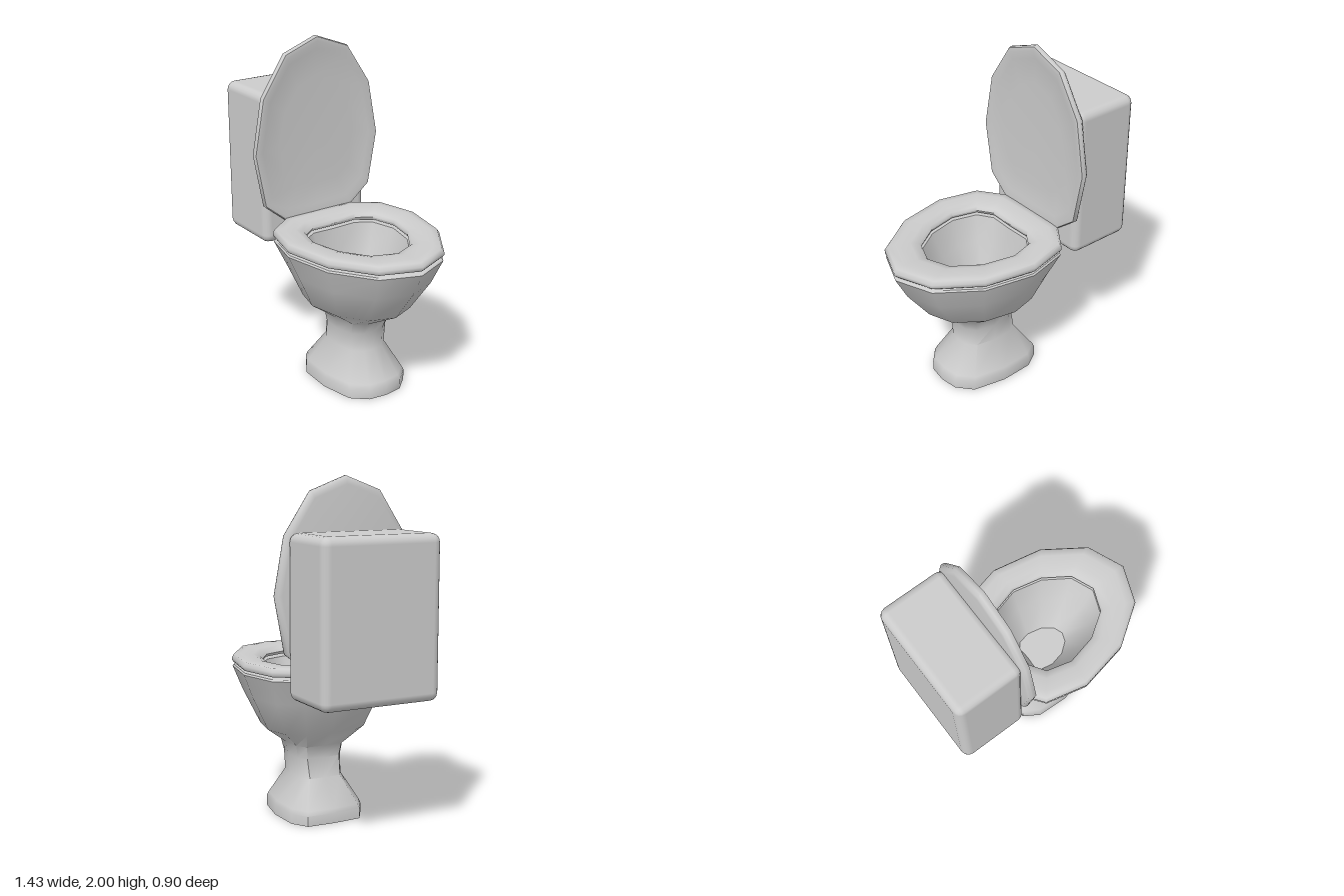
import * as THREE from 'three';
import { toCreasedNormals } from 'three/addons/utils/BufferGeometryUtils.js';
import { RoundedBoxGeometry } from 'three/addons/geometries/RoundedBoxGeometry.js';

const material = new THREE.MeshStandardMaterial({ color: 0xcccccc, side: THREE.DoubleSide });

// Half outlines [x, z], front tip to back centre, mirrored by ring()
const RIM = [[0.715, 0], [0.625, 0.225], [0.385, 0.39], [0.08, 0.45], [-0.17, 0.39], [-0.28, 0.24], [-0.29, 0]];
const HOLE = [[0.485, 0], [0.43, 0.14], [0.28, 0.24], [0.1, 0.28], [-0.05, 0.24], [-0.11, 0.15], [-0.105, 0]];
const DRAIN = [[0.265, 0], [0.245, 0.055], [0.18, 0.105], [0.09, 0.125], [0.015, 0.11], [-0.01, 0.075], [-0.005, 0]];
const FOOT = [[0.415, 0], [0.4, 0.11], [0.32, 0.2], [0.12, 0.24], [-0.08, 0.23], [-0.175, 0.17], [-0.185, 0]];
const LID = [[2, 0], [1.92, 0.215], [1.685, 0.37], [1.36, 0.43], [1.04, 0.37], [0.93, 0.235], [0.92, 0]];

const mix = (a, b, t) => a.map((p, i) => [p[0] + (b[i][0] - p[0]) * t, p[1] + (b[i][1] - p[1]) * t]);

// Stretches an outline to span x0..x1 and -w..w
function fit(outline, x0, x1, w) {
  const front = outline[0][0], back = outline[6][0];
  const widest = Math.max(...outline.map((p) => p[1]));
  return outline.map(([x, z]) => [x0 + ((x - back) / (front - back)) * (x1 - x0), (z / widest) * w]);
}

// Full 12-point ring at height y
function ring(half, y) {
  const mirrored = half.slice(1, 6).reverse().map(([x, z]) => [x, -z]);
  return [...half, ...mirrored].map(([x, z]) => [x, y, z]);
}

// Skins a list of rings
function loft(rings, closed, crease) {
  const n = 12, index = [];
  const count = closed ? rings.length : rings.length - 1;
  for (let i = 0; i < count; i++) {
    for (let j = 0; j < n; j++) {
      const k = (j + 1) % n, up = ((i + 1) % rings.length) * n;
      const a = i * n + j, b = i * n + k, c = up + j, d = up + k;
      index.push(a, c, b, b, c, d);
    }
  }
  const geometry = new THREE.BufferGeometry();
  geometry.setAttribute('position', new THREE.Float32BufferAttribute(rings.flat(2), 3));
  geometry.setIndex(index);
  return toCreasedNormals(geometry, crease);
}

export function createModel() {
  const group = new THREE.Group();
  const add = (name, geometry) => {
    const mesh = new THREE.Mesh(geometry, material);
    mesh.name = name;
    group.add(mesh);
    return mesh;
  };

  // Pedestal, open underneath, flowing into the bowl, over its rim and down to the drain
  const centre = DRAIN.map(() => [0.12, 0]);
  add('pedestalAndBowl', loft([
    ring(FOOT, 0),
    ring(FOOT, 0.06),
    ring(fit(FOOT, -0.175, 0.4, 0.23), 0.085),
    ring(fit(FOOT, -0.068, 0.287, 0.14), 0.245),
    ring(fit(FOOT, -0.045, 0.287, 0.147), 0.36),
    ring(fit(FOOT, -0.06, 0.32, 0.16), 0.435),
    ring(fit(RIM, -0.145, 0.49, 0.295), 0.53),
    ring(fit(RIM, -0.215, 0.635, 0.385), 0.725),
    ring(fit(RIM, -0.285, 0.71, 0.447), 0.87),
    ring(fit(RIM, -0.275, 0.7, 0.44), 0.88),
    ring(HOLE, 0.88),
    ring(mix(HOLE, DRAIN, 0.35), 0.72),
    ring(DRAIN, 0.5),
    ring(centre, 0.5),
  ], false, 0.9));

  // Seat ring: each pair is [blend from outer edge to hole, height]
  const section = [[0.04, 0.895], [0, 0.905], [0, 0.922], [0.07, 0.943], [0.3, 0.946],
    [0.7, 0.942], [0.93, 0.93], [1, 0.912], [0.96, 0.895]];
  add('seat', loft(section.map(([t, y]) => ring(mix(RIM, HOLE, t), y)), true, 1.0));

  // Raised lid: dished inner face, rounded rim; lofted flat, then stood upright
  const middle = LID.map(() => [1.42, 0]);
  const lidSection = [[1, 0.287], [0.4, 0.287], [0.13, 0.28], [0.05, 0.27], [0.01, 0.272],
    [0, 0.285], [0, 0.3], [0.03, 0.316], [0.08, 0.32], [1, 0.322]];
  const lid = add('lid', loft(lidSection.map(([t, y]) => ring(mix(LID, middle, t), y)), false, 1.0));
  lid.rotation.z = Math.PI / 2;

  // Water tank
  const tank = add('tank', new RoundedBoxGeometry(0.42, 0.912, 0.72, 2, 0.05));
  tank.position.set(-0.51, 1.246, 0);

  return group;
}
